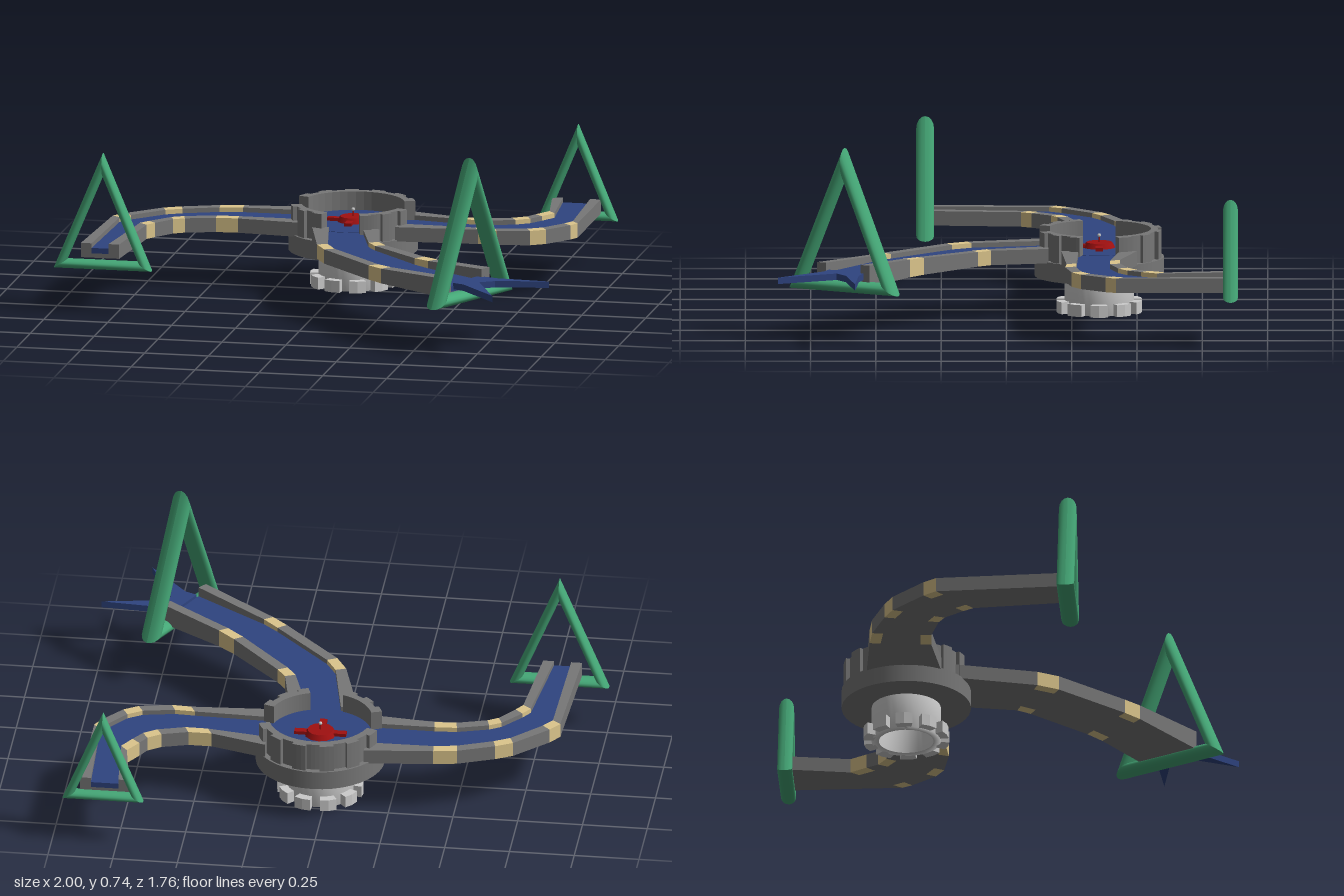
import * as THREE from 'three';

const mat = (color) => new THREE.MeshStandardMaterial({ color });
const STONE = mat(0x777777), PALE = mat(0xcccccc), TAN = mat(0xdcc68c);
const WATER = mat(0x2f4480), RED = mat(0xa01010), GREEN = mat(0x45a877);
const HUB = [0.03, -0.355];

function add(parent, name, geometry, material, x = 0, y = 0, z = 0) {
  const mesh = new THREE.Mesh(geometry, material);
  mesh.name = name;
  mesh.position.set(x, y, z);
  parent.add(mesh);
  return mesh;
}

// Upright prism over an outline of [x, z] points
function prism(points, bottom, top, hole) {
  const shape = new THREE.Shape(points.map((p) => new THREE.Vector2(p[0], p[1])));
  if (hole) shape.holes.push(new THREE.Path().absarc(0, 0, hole, 0, Math.PI * 2, true));
  const g = new THREE.ExtrudeGeometry(shape, { depth: top - bottom, bevelEnabled: false, curveSegments: 16 });
  return g.rotateX(Math.PI / 2).translate(0, top, 0);
}

// Toothed arc from angle a0 to a1, alternating between two radii
function toothedArc(a0, a1, teeth, low, high) {
  const pts = [], n = teeth * 2 + 1;
  for (let i = 0; i < n; i++) {
    const r = i % 2 ? low : high;
    for (let k = 0; k <= 3; k++) {
      const a = a0 + ((a1 - a0) * (i + k / 3)) / n;
      pts.push([r * Math.cos(a), r * Math.sin(a)]);
    }
  }
  return pts;
}

// Triangular ring with an oval section and mitred corners
function triangleRing(half, bottom, top, a, b) {
  const h = top - bottom, side = Math.hypot(half, h);
  const inR = (half * h) / (half + side);
  const corners = [[-half, bottom], [half, bottom], [0, top]];
  const cy = bottom + inR, N = 16, pos = [], idx = [];
  for (let s = 0; s < 3; s++) {
    for (let j = 0; j <= N; j++) {
      const t = (j / N) * Math.PI * 2;
      const k = 1 - (a - a * Math.cos(t)) / inR;
      for (const c of [corners[s], corners[(s + 1) % 3]]) {
        pos.push(c[0] * k, cy + (c[1] - cy) * k, b * Math.sin(t));
      }
      if (j < N) {
        const i = s * (N + 1) * 2 + j * 2;
        idx.push(i, i + 1, i + 2, i + 1, i + 3, i + 2);
      }
    }
  }
  const g = new THREE.BufferGeometry();
  g.setAttribute('position', new THREE.Float32BufferAttribute(pos, 3));
  g.setIndex(idx);
  g.computeVertexNormals();
  return g;
}

// Channel arm: rows of [xA, zA, xB, zB] give its two outer edges
function arm(name, rows, tanSegments, lift = 0) {
  const group = new THREE.Group();
  group.name = name;
  const cuts = rows.map(([ax, az, bx, bz], i) => {
    const t = (i === 0 ? 0.066 : 0.042) / Math.hypot(bx - ax, bz - az);
    const at = (f) => [ax + (bx - ax) * f, az + (bz - az) * f];
    return [at(0), at(t), at(1 - t), at(1)];
  });
  for (let i = 0; i + 1 < cuts.length; i++) {
    const p = cuts[i], q = cuts[i + 1];
    const quad = (m, n) => [p[m], p[n], q[n], q[m]];
    for (const m of [0, 2]) {
      const g = prism(quad(m, m + 1), 0.208, 0.264), v = g.attributes.position;
      // wall tops climb slightly toward the spout
      for (let k = 0; k < v.count; k++) {
        if (v.getY(k) > 0.25) v.setY(k, v.getY(k) + lift * Math.max(0, v.getX(k) - 0.3));
      }
      add(group, 'channelWall', g, tanSegments.includes(i) ? TAN : STONE);
    }
    add(group, 'channelFloor', prism(quad(1, 2), 0.208, 0.225), STONE);
    add(group, 'channelWater', prism(quad(1, 2), 0.225, 0.246), WATER);
  }
  return group;
}

export function createModel() {
  const model = new THREE.Group();
  const hub = new THREE.Group();
  hub.name = 'hub';
  hub.position.set(HUB[0], 0, HUB[1]);
  model.add(hub);

  // Hollow pedestal with toothed foot
  const column = [[0.105, 0], [0.133, 0], [0.133, 0.15], [0.105, 0.15], [0.105, 0]];
  add(hub, 'pedestal', new THREE.LatheGeometry(column.map((p) => new THREE.Vector2(...p)), 32), PALE);
  for (let i = 0; i < 10; i++) {
    const a = (i / 10) * Math.PI * 2, w = 0.2;
    const tooth = [[0.125, -w], [0.165, -w], [0.167, 0], [0.165, w], [0.125, w]];
    add(hub, 'footTooth', prism(tooth.map(([r, d]) => [r * Math.cos(a + d), r * Math.sin(a + d)]), 0, 0.046), PALE);
  }

  // Basin and its water
  add(hub, 'basin', new THREE.CylinderGeometry(0.248, 0.248, 0.073, 40), STONE, 0, 0.1765);
  add(hub, 'basinWater', new THREE.CylinderGeometry(0.202, 0.202, 0.035, 40), WATER, 0, 0.23);

  // Rim wall, open where the three channels leave
  const gap = 0.32, P = Math.PI;
  for (const [a0, a1, teeth] of [[gap, P / 2 - gap, 2], [P / 2 + gap, P - gap, 2], [P + gap, 2 * P - gap, 5]]) {
    const inner = [];
    for (let k = 0; k <= 16; k++) {
      const a = a1 + ((a0 - a1) * k) / 16;
      inner.push([0.198 * Math.cos(a), 0.198 * Math.sin(a)]);
    }
    add(hub, 'rimWall', prism([...toothedArc(a0, a1, teeth, 0.225, 0.24), ...inner], 0.21, 0.32), STONE);
  }

  // Valve in the middle of the basin
  const valve = new THREE.Group();
  valve.name = 'valve';
  hub.add(valve);
  add(valve, 'valveBody', new THREE.CylinderGeometry(0.05, 0.062, 0.022, 12), RED, 0, 0.257);
  for (const a of [0, -P / 2, P]) {
    const tab = add(valve, 'valveTab', new THREE.BoxGeometry(0.06, 0.014, 0.028), RED,
      0.07 * Math.cos(a), 0.253, -0.07 * Math.sin(a));
    tab.rotation.y = a;
  }
  add(valve, 'valveStem', new THREE.CylinderGeometry(0.003, 0.003, 0.03, 8), RED, 0, 0.28);
  add(valve, 'valveKnob', new THREE.SphereGeometry(0.007, 10, 8), PALE, 0, 0.294);

  // Three winding channels
  model.add(arm('rightArm', [
    [-0.155, -0.497, -0.155, -0.21], [-0.42, -0.47, -0.395, -0.235], [-0.51, -0.455, -0.48, -0.23],
    [-0.65, -0.40, -0.595, -0.195], [-0.715, -0.365, -0.635, -0.17], [-0.84, -0.24, -0.69, -0.095],
    [-0.875, -0.19, -0.715, -0.055], [-0.895, 0.31, -0.745, 0.31]], [1, 3, 5]));
  model.add(arm('leftArm', [
    [0.225, -0.50, 0.225, -0.21], [0.44, -0.435, 0.545, -0.23], [0.53, -0.435, 0.62, -0.225],
    [0.63, -0.465, 0.745, -0.25], [0.68, -0.50, 0.80, -0.285], [0.705, -0.545, 0.875, -0.38],
    [0.745, -0.61, 0.895, -0.42], [0.705, -0.85, 0.895, -0.85]], [1, 3, 5]));
  model.add(arm('frontArm', [
    [0.175, -0.16, -0.09, -0.16], [0.22, 0.06, -0.005, 0.15], [0.255, 0.11, 0.04, 0.23],
    [0.45, 0.315, 0.265, 0.47], [0.515, 0.37, 0.325, 0.525], [0.75, 0.525, 0.61, 0.725]], [1, 3], 0.06));

  // Forked jet of water leaving the front arm
  add(model, 'waterJet', prism([[0.71, 0.54], [0.79, 0.565], [0.995, 0.58], [0.79, 0.615],
    [0.735, 0.65], [0.835, 0.875], [0.685, 0.70], [0.64, 0.68]], 0.233, 0.258), WATER);

  // Triangular gates at the channel ends
  add(model, 'rightGate', triangleRing(0.192, 0.165, 0.622, 0.018, 0.034), GREEN, -0.808, 0, 0.312);
  add(model, 'leftGate', triangleRing(0.156, 0.18, 0.555, 0.017, 0.029), GREEN, 0.805, 0, -0.858);
  add(model, 'frontGate', triangleRing(0.232, 0.18, 0.738, 0.023, 0.041), GREEN, 0.692, 0, 0.62).rotation.y = 1.09;
  return model;
}
